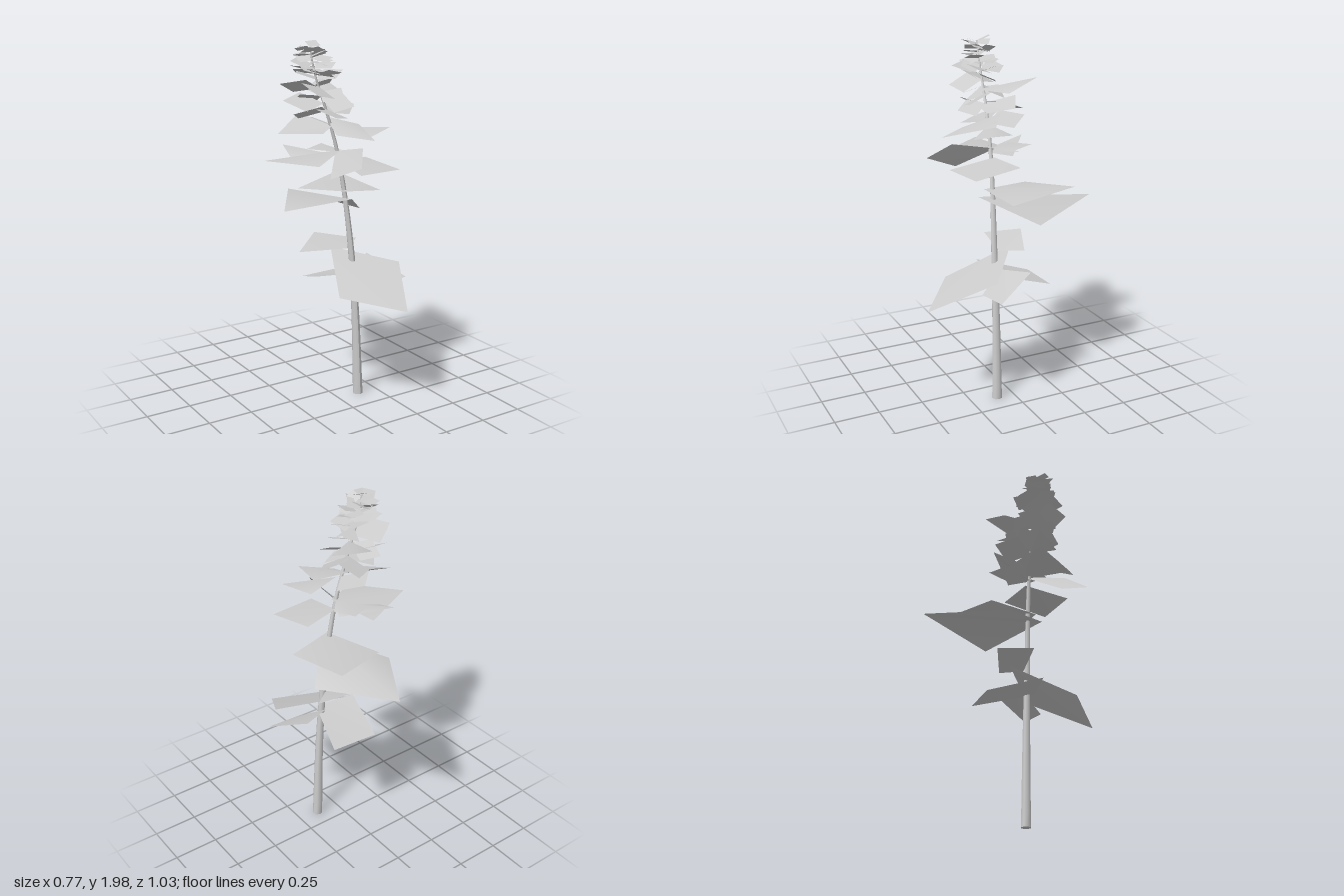
import * as THREE from 'three';

// Centre line of the leaning trunk
const spine = new THREE.CatmullRomCurve3([
  [0.132, 0, 0.1], [0.112, 0.5, 0.097], [0.085, 0.85, 0.093], [0.045, 1.18, 0.083],
  [0.0, 1.42, 0.075], [-0.06, 1.62, 0.07], [-0.125, 1.8, 0.07], [-0.168, 1.98, 0.075],
].map(p => new THREE.Vector3(...p)));
const spinePoints = spine.getPoints(200);

function trunkAt(y) {
  const i = Math.max(1, spinePoints.findIndex(p => p.y >= y));
  const a = spinePoints[i - 1], b = spinePoints[i];
  return a.clone().lerp(b, (y - a.y) / (b.y - a.y));
}

// One four-cornered leaf, facing up: base, side, tip, other side
function leafGeometry(corners) {
  const g = new THREE.BufferGeometry();
  g.setAttribute('position', new THREE.Float32BufferAttribute(corners.flat(), 3));
  const [a, b, c] = corners;
  const up = (b[2] - a[2]) * (c[0] - a[0]) - (b[0] - a[0]) * (c[2] - a[2]) > 0;
  g.setIndex(up ? [0, 1, 2, 0, 2, 3] : [0, 2, 1, 0, 3, 2]);
  g.computeVertexNormals();
  return g;
}

// Kite-shaped leaf from the trunk to a tip; roll lifts one side and drops the other
function kite(y, tip, width, roll) {
  const base = trunkAt(y);
  const end = new THREE.Vector3(...tip);
  const dir = end.clone().sub(base);
  const side = new THREE.Vector3(-dir.z, 0, dir.x).normalize().multiplyScalar(width / 2);
  side.y = roll;
  const mid = base.clone().addScaledVector(dir, 0.5);
  return [base.toArray(), mid.clone().add(side).toArray(), tip, mid.clone().sub(side).toArray()];
}

export function createModel() {
  const model = new THREE.Group();
  const grey = new THREE.MeshStandardMaterial({ color: 0xcccccc, side: THREE.DoubleSide });
  grey.name = 'pale grey';

  // Trunk: tapered cylinder bent along the spine
  const trunkGeometry = new THREE.CylinderGeometry(0.004, 0.028, 1.95, 8, 24);
  trunkGeometry.translate(0, 0.975, 0);
  const pos = trunkGeometry.attributes.position;
  for (let i = 0; i < pos.count; i++) {
    const c = trunkAt(pos.getY(i));
    pos.setX(i, pos.getX(i) + c.x);
    pos.setZ(i, pos.getZ(i) + c.z);
  }
  trunkGeometry.computeVertexNormals();
  const trunk = new THREE.Mesh(trunkGeometry, grey);
  trunk.name = 'trunk';
  model.add(trunk);

  const leaves = new THREE.Group();
  leaves.name = 'leaves';
  model.add(leaves);
  const addLeaf = corners => {
    const leaf = new THREE.Mesh(leafGeometry(corners), grey);
    leaf.name = 'leaf';
    leaves.add(leaf);
  };

  // Large lower leaves, corner by corner
  [
    [[0.03, 0.85, -0.03], [0.335, 0.77, 0.195], [0.16, 0.605, 0.515], [-0.12, 0.67, 0.295]],
    [[0.09, 0.745, 0.06], [0.275, 0.775, -0.03], [0.385, 0.675, 0.195], [0.18, 0.655, 0.21]],
    [[0.1, 0.73, 0.14], [0.21, 0.66, -0.185], [-0.065, 0.65, -0.19], [-0.13, 0.738, 0.1]],
    [[0.085, 0.855, 0.07], [0.2, 0.875, -0.03], [-0.02, 0.92, -0.12], [-0.2, 0.865, 0.02]],
    [[0.04, 1.155, 0.165], [0.265, 1.025, -0.09], [0.045, 1.085, -0.52], [-0.21, 1.06, -0.12]],
    [[0.03, 1.19, 0.125], [0.285, 1.16, 0.08], [0.245, 1.205, -0.305], [-0.09, 1.165, -0.18]],
  ].forEach(addLeaf);

  // Leaves around the middle of the trunk
  [
    [[0.02, 1.355, 0.06], [0.23, 1.34, 0.01], [0.268, 1.31, 0.28], [0.0, 1.31, 0.31]],
    [[0.03, 1.41, 0.08], [-0.08, 1.34, -0.14], [-0.385, 1.375, -0.015], [-0.205, 1.365, 0.235]],
    [[0.01, 1.4, 0.05], [0.015, 1.45, 0.3], [-0.065, 1.37, 0.41], [-0.13, 1.29, 0.22]],
    [[0.01, 1.38, 0.08], [0.06, 1.36, -0.03], [-0.17, 1.415, -0.2], [-0.2, 1.36, -0.05]],
    [[0.0, 1.4, 0.08], [0.08, 1.39, -0.01], [0.045, 1.41, -0.15], [-0.09, 1.4, -0.08]],
    [[-0.02, 1.58, 0.0], [0.125, 1.54, 0.1], [0.04, 1.495, 0.37], [-0.08, 1.51, 0.2]],
    [[0.0, 1.53, 0.08], [0.19, 1.505, 0.035], [0.265, 1.525, 0.19], [0.1, 1.48, 0.22]],
    [[-0.03, 1.54, 0.08], [-0.14, 1.6, -0.08], [-0.32, 1.515, 0.02], [-0.15, 1.52, 0.18]],
    [[-0.1, 1.7, 0.1], [0.085, 1.7, 0.005], [0.063, 1.77, -0.17], [-0.09, 1.72, -0.11]],
    [[-0.1, 1.62, 0.1], [0.03, 1.68, -0.06], [0.155, 1.635, 0.005], [0.05, 1.6, 0.12]],
  ].forEach(addLeaf);

  // Upper leaves: height on the trunk, tip, width, roll
  [
    [1.53, [-0.02, 1.56, -0.14], 0.2, -0.03],
    [1.62, [-0.275, 1.62, 0.1], 0.19, -0.04],
    [1.63, [-0.09, 1.6, 0.22], 0.19, 0.03],
    [1.64, [0.0, 1.6, -0.12], 0.17, 0.03],
    [1.66, [-0.28, 1.68, 0.0], 0.18, 0.04],
    [1.68, [0.03, 1.65, 0.2], 0.16, -0.04],
    [1.7, [-0.17, 1.66, -0.08], 0.15, -0.03],
    [1.72, [-0.04, 1.7, 0.21], 0.16, -0.03],
    [1.74, [-0.315, 1.77, 0.03], 0.19, -0.04],
    [1.75, [-0.2, 1.72, 0.22], 0.17, 0.04],
    [1.77, [-0.02, 1.76, 0.04], 0.13, 0.03],
    [1.79, [0.03, 1.83, 0.09], 0.14, -0.02],
    [1.81, [-0.14, 1.83, 0.23], 0.14, 0.02],
    [1.8, [-0.27, 1.83, 0.12], 0.13, 0.02],
    [1.8, [-0.15, 1.81, -0.08], 0.13, -0.02],
  ].forEach(row => addLeaf(kite(...row)));

  // Small crown leaves, spiralling and shrinking towards the top
  const count = 24;
  for (let i = 0; i < count; i++) {
    const t = i / (count - 1);
    const y = 1.81 + 0.14 * t;
    const angle = i * 2.4 + 0.6;
    const length = 0.145 - 0.055 * t;
    const c = trunkAt(y);
    const tip = [
      c.x + Math.cos(angle) * length,
      y + 0.01 + 0.022 * Math.sin(i * 1.7),
      c.z + Math.sin(angle) * length * 0.85,
    ];
    addLeaf(kite(y, tip, length * 0.95, 0.025 * Math.cos(i * 2.1)));
  }
  return model;
}
